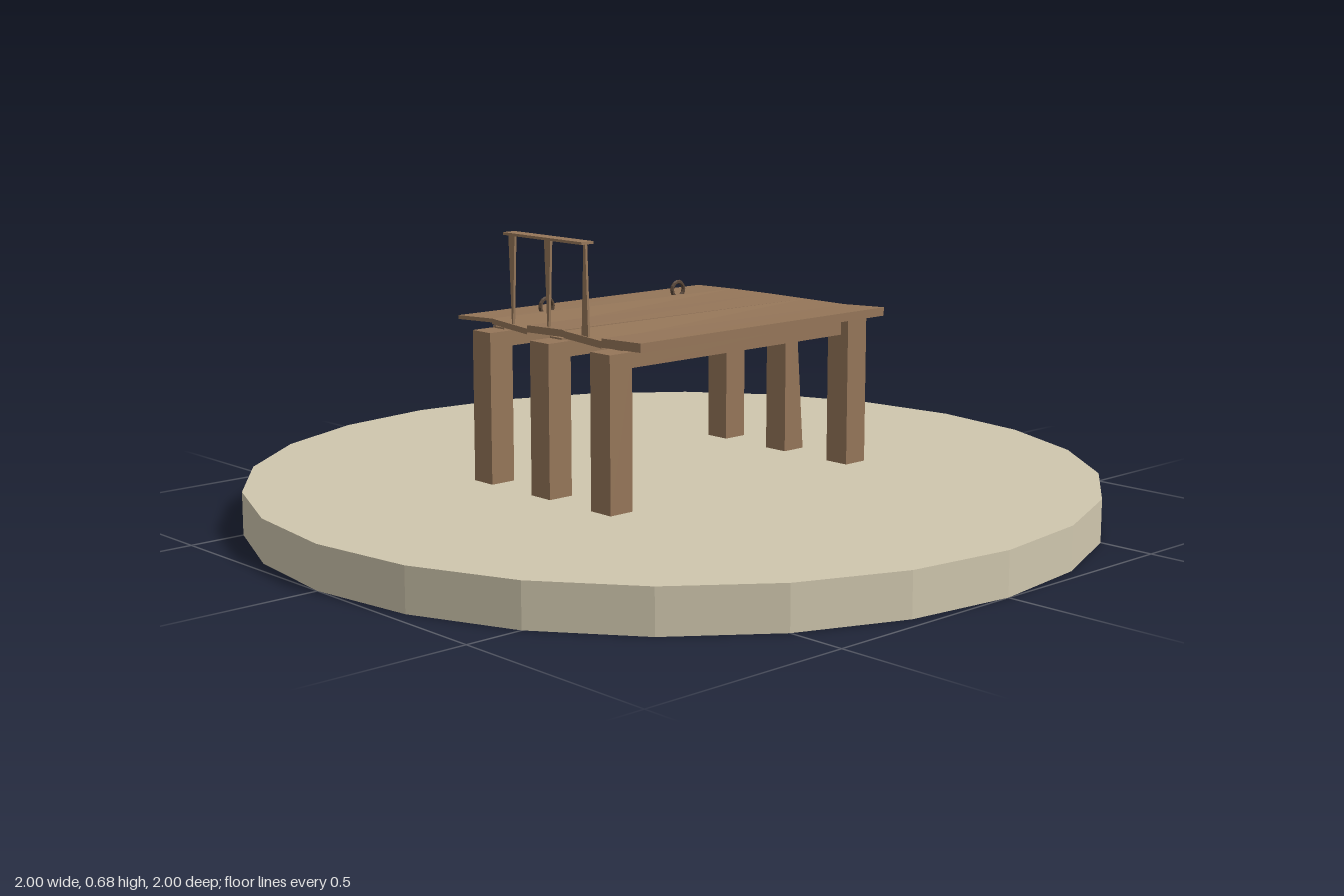
import * as THREE from 'three';

const mat = (name, color) => {
  const m = new THREE.MeshStandardMaterial({ color, flatShading: true });
  m.name = name;
  return m;
};

export function createModel() {
  const sand = mat('sand', 0xcfc6ad);
  const wood = mat('wood', 0x957659);
  const iron = mat('darkIron', 0x574537);
  const model = new THREE.Group();
  model.name = 'dock';

  const add = (name, geometry, material, x, y, z) => {
    const mesh = new THREE.Mesh(geometry, material);
    mesh.name = name;
    mesh.position.set(x, y, z);
    model.add(mesh);
    return mesh;
  };
  // Moves each vertex of a box by a rule
  const warp = (geometry, rule) => {
    const p = geometry.attributes.position;
    const v = new THREE.Vector3();
    for (let i = 0; i < p.count; i++) {
      rule(v.fromBufferAttribute(p, i));
      p.setXYZ(i, v.x, v.y, v.z);
    }
    geometry.computeVertexNormals();
    return geometry;
  };

  // Round faceted base
  add('base', new THREE.CylinderGeometry(1, 1, 0.1, 24), sand, 0, 0.05, 0);

  // Three pairs of posts, each joined by a cross beam
  for (const z of [0.207, 0.003, -0.203]) {
    for (const side of [-1, 1]) {
      const skewed = side > 0 && z === 0.003;
      const post = warp(new THREE.BoxGeometry(0.064, 0.352, 0.064), (v) => {
        if (skewed && v.x > 0 && v.y > 0 && v.z > 0) v.x -= 0.028; // chipped top corner
      });
      add('post', post, wood, side * 0.375, 0.276, z);
    }
    add('crossBeam', new THREE.BoxGeometry(0.7, 0.044, 0.04), wood, 0, 0.434, z - 0.01);
  }

  // Deck planks: z centre, thickness, and top heights at left front, left back, right front, right back
  const planks = [
    [0.25, 0.02, 0.484, 0.480, 0.484, 0.478],
    [0.124, 0.016, 0.474, 0.482, 0.478, 0.478],
    [-0.002, 0.016, 0.484, 0.480, 0.478, 0.478],
    [-0.128, 0.013, 0.472, 0.481, 0.478, 0.477],
    [-0.254, 0.009, 0.481, 0.475, 0.477, 0.474],
  ];
  for (const [z, thick, lf, lb, rf, rb] of planks) {
    const geometry = warp(new THREE.BoxGeometry(0.77, thick, 0.126), (v) => {
      const top = v.x < 0 ? (v.z > 0 ? lf : lb) : (v.z > 0 ? rf : rb);
      v.y = v.y > 0 ? top : top - thick;
    });
    add('plank', geometry, wood, 0, 0, z);
  }

  // Thin handrail on tapered uprights: z, width at bottom, width at top
  add('handrail', new THREE.BoxGeometry(0.034, 0.006, 0.27), wood, -0.378, 0.681, 0);
  for (const [z, bottom, top] of [[0.128, 0.022, 0.006], [0.003, 0.004, 0.022], [-0.122, 0.004, 0.022]]) {
    const geometry = warp(new THREE.BoxGeometry(0.006, 0.204, 1), (v) => {
      v.z *= v.y > 0 ? top : bottom;
    });
    add('railUpright', geometry, wood, -0.378, 0.577, z);
  }

  // Mooring rings standing at the back of the deck
  for (const x of [-0.21, 0.21]) {
    add('mooringRing', new THREE.TorusGeometry(0.019, 0.005, 6, 14), iron, x, 0.49, -0.208);
  }
  return model;
}
